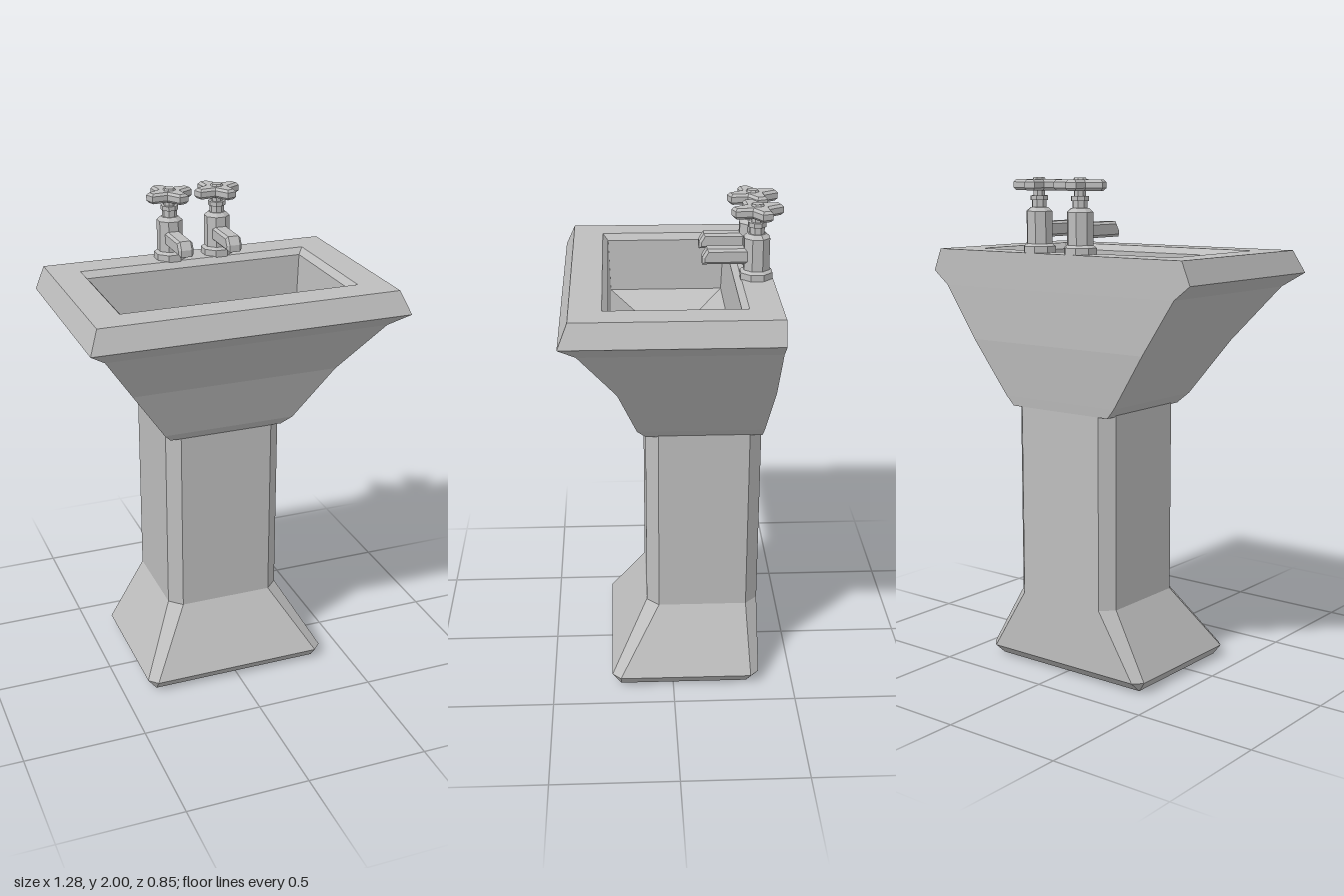
import * as THREE from 'three';

const grey = new THREE.MeshStandardMaterial({ color: 0xbebebe, flatShading: true });
grey.name = 'grey ceramic';

function mesh(geometry, name, parent) {
  const m = new THREE.Mesh(geometry, grey);
  m.name = name;
  parent.add(m);
  return m;
}

// Rectangular cross-section, with optional cut corners, counterclockwise from above
function ring(y, halfX, back, front, cut = 0) {
  const corners = [[halfX, front], [halfX, back], [-halfX, back], [-halfX, front]];
  if (!cut) return corners.map(([x, z]) => [x, y, z]);
  return corners.flatMap(([x, z], i) => {
    const sx = Math.sign(x) * cut, sz = (z === front ? 1 : -1) * cut;
    const onSide = [x, y, z - sz], onEnd = [x - sx, y, z];
    return i % 2 ? [onSide, onEnd] : [onEnd, onSide];
  });
}

// Skin a list of cross-sections with flat faces and close both ends
function loft(rings) {
  const p = [];
  const n = rings[0].length;
  for (let r = 0; r + 1 < rings.length; r++) {
    const lo = rings[r], hi = rings[r + 1];
    for (let i = 0; i < n; i++) {
      const j = (i + 1) % n;
      p.push(...lo[i], ...lo[j], ...hi[j], ...lo[i], ...hi[j], ...hi[i]);
    }
  }
  const first = rings[0], last = rings[rings.length - 1];
  for (let i = 1; i + 1 < n; i++) {
    p.push(...first[0], ...first[i + 1], ...first[i]);
    p.push(...last[0], ...last[i], ...last[i + 1]);
  }
  const g = new THREE.BufferGeometry();
  g.setAttribute('position', new THREE.Float32BufferAttribute(p, 3));
  g.computeVertexNormals();
  return g;
}

function post(parent, name, rTop, rBottom, y0, y1, sides = 8) {
  const g = new THREE.CylinderGeometry(rTop, rBottom, y1 - y0, sides);
  g.rotateY(Math.PI / sides);
  const m = mesh(g, name, parent);
  m.position.y = (y0 + y1) / 2;
  return m;
}

function createTap() {
  const tap = new THREE.Group();
  post(tap, 'tapFlange', 0.066, 0.066, 1.70, 1.735);
  post(tap, 'tapFlangeBevel', 0.052, 0.066, 1.735, 1.745);
  post(tap, 'tapBody', 0.053, 0.053, 1.745, 1.87);
  post(tap, 'tapShoulder', 0.036, 0.053, 1.87, 1.885);
  post(tap, 'tapNeck', 0.03, 0.03, 1.885, 1.915);
  post(tap, 'tapCollar', 0.036, 0.036, 1.912, 1.93);
  post(tap, 'tapStem', 0.024, 0.024, 1.93, 1.96);

  // Spout: side profile swept across its width
  const side = new THREE.Shape([[0, 1.78], [0.2, 1.78], [0.2, 1.795], [0.185, 1.82], [0, 1.82]]
    .map(([z, y]) => new THREE.Vector2(z, y)));
  const spout = new THREE.ExtrudeGeometry(side, {
    depth: 0.044, bevelEnabled: true, bevelSize: 0.01, bevelThickness: 0.01, bevelSegments: 1,
  });
  spout.translate(0, 0, -0.022);
  spout.rotateY(-Math.PI / 2);
  mesh(spout, 'tapSpout', tap);

  // Cross handle with four bevelled arms
  const pts = [];
  for (let i = 0; i < 4; i++) {
    const a = i * Math.PI / 2;
    for (const [u, v] of [[0.028, -0.028], [0.09, -0.014], [0.09, 0.014]]) {
      pts.push(new THREE.Vector2(u * Math.cos(a) - v * Math.sin(a), u * Math.sin(a) + v * Math.cos(a)));
    }
  }
  const cross = new THREE.ExtrudeGeometry(new THREE.Shape(pts), {
    depth: 0.022, bevelEnabled: true, bevelSize: 0.009, bevelThickness: 0.01, bevelSegments: 1,
  });
  cross.rotateX(-Math.PI / 2);
  cross.rotateY(0.32);
  mesh(cross, 'tapHandle', tap).position.y = 1.96;
  post(tap, 'tapHandleCap', 0.022, 0.03, 1.985, 2.0);
  return tap;
}

export function createModel() {
  const model = new THREE.Group();
  model.name = 'pedestalSink';

  // Pedestal: cut-corner column with a flared foot and a flat back
  mesh(loft([
    ring(0, 0.36, -0.31, 0.22, 0.002),
    ring(0.045, 0.395, -0.36, 0.255, 0.035),
    ring(0.31, 0.245, -0.36, 0.105, 0.05),
    ring(1.10, 0.245, -0.36, 0.105, 0.05),
  ]), 'pedestal', model);

  // Basin: outside upward, over the rim, then down inside to the floor
  mesh(loft([
    ring(1.09, 0.24, -0.36, 0.105),
    ring(1.13, 0.275, -0.365, 0.14),
    ring(1.35, 0.425, -0.388, 0.215),
    ring(1.565, 0.57, -0.392, 0.36),
    ring(1.62, 0.64, -0.392, 0.425),
    ring(1.71, 0.603, -0.392, 0.387),
    ring(1.71, 0.482, -0.27, 0.265),
    ring(1.685, 0.46, -0.248, 0.243),
    ring(1.47, 0.448, -0.238, 0.235),
    ring(1.40, 0.345, -0.132, 0.125),
  ]), 'basin', model);

  // Drain plug on the basin floor
  const drain = mesh(new THREE.CylinderGeometry(0.046, 0.057, 0.025, 6), 'drain', model);
  drain.geometry.rotateY(Math.PI / 6);
  drain.position.set(0.003, 1.411, -0.068);

  // Pair of taps
  [-0.085, 0.12].forEach((x, i) => {
    const tap = createTap();
    tap.name = i ? 'leftTap' : 'rightTap';
    tap.position.set(x, 0, -0.328);
    model.add(tap);
  });
  return model;
}
